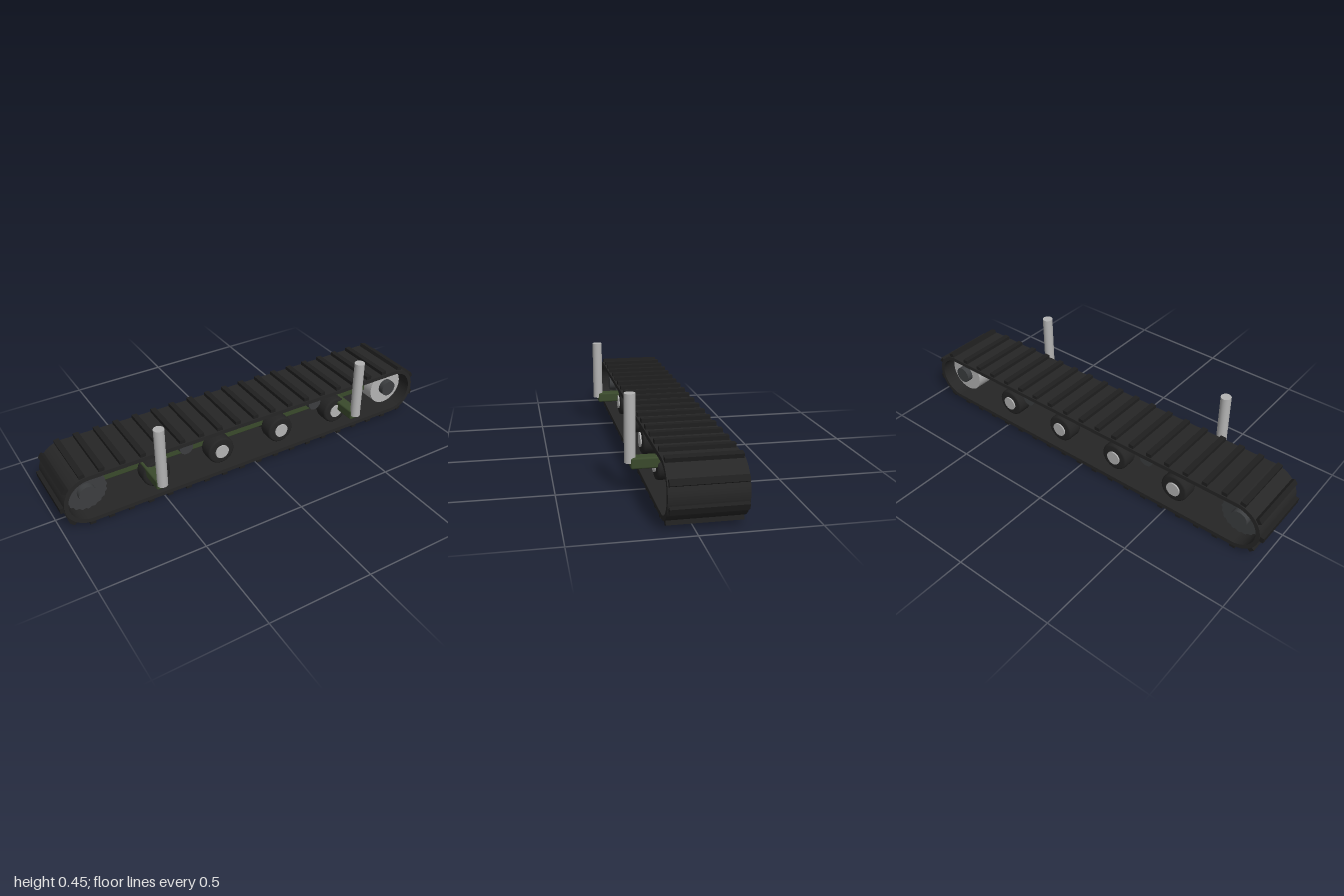
import * as THREE from 'three';
import { RoundedBoxGeometry } from 'three/addons/geometries/RoundedBoxGeometry.js';

const CY = 0.143, CZ = -0.046;        // centre line of the track
const HALF = 0.857, R = 0.125;        // half run length, belt outer radius
const mat = (color) => new THREE.MeshStandardMaterial({ color });

export function createModel() {
  const model = new THREE.Group();
  const rubber = mat(0x262626), cleatMat = mat(0x1f1f1f), tyreMat = mat(0x242424);
  const dark = mat(0x3c3e40), steel = mat(0xb4b4b4), green = mat(0x3a4a2c);

  const add = (name, geometry, material, x, y, z, parent = model) => {
    const mesh = new THREE.Mesh(geometry, material);
    mesh.name = name;
    mesh.position.set(x, y, z);
    parent.add(mesh);
    return mesh;
  };
  // Cylinder lying along z
  const axle = (r, length, sides = 32) =>
    new THREE.CylinderGeometry(r, r, length, sides).rotateX(Math.PI / 2);

  // Belt: stadium ring extruded across the track width
  const stadium = (path, r) => path
    .absarc(HALF, 0, r, -Math.PI / 2, Math.PI / 2, false)
    .absarc(-HALF, 0, r, Math.PI / 2, Math.PI * 1.5, false)
    .closePath();
  const loop = stadium(new THREE.Shape(), R);
  loop.holes.push(stadium(new THREE.Path(), R - 0.02));
  const width = 0.322;
  const beltGeo = new THREE.ExtrudeGeometry(loop, { depth: width, bevelEnabled: false, curveSegments: 20 });
  add('belt', beltGeo, rubber, 0, CY, CZ - width / 2);

  // Cleats: distances along the loop, starting at the top left and running clockwise
  const run = 2 * HALF, arc = Math.PI * R, pitch = 0.0984;
  const stops = [];
  const spread = (from, step, count) => {
    for (let i = 0; i < count; i++) stops.push(from + i * step);
  };
  const topStart = 0.065, topEnd = topStart + 16 * pitch;
  const lowStart = run + arc + 0.052, lowEnd = lowStart + 16 * pitch;
  const rightStep = (lowStart - topEnd) / 5;
  const leftStep = (2 * (run + arc) + topStart - lowEnd) / 6;
  spread(topStart, pitch, 17);
  spread(topEnd + rightStep, rightStep, 4);
  spread(lowStart, pitch, 17);
  spread(lowEnd + leftStep, leftStep, 5);

  const cleats = new THREE.Group();
  cleats.name = 'cleats';
  model.add(cleats);
  const cleatGeo = new THREE.BoxGeometry(0.027, 0.024, 0.312);
  for (const stop of stops) {
    const half = run + arc;
    const s = stop % (2 * half);
    const lower = s >= half;
    const t = lower ? s - half : s;
    const turn = t > run ? (t - run) / R : 0;
    const sign = lower ? -1 : 1;
    const rr = R + 0.006;
    const x = sign * (Math.min(t, run) - HALF + Math.sin(turn) * rr);
    const y = sign * Math.cos(turn) * rr;
    const cleat = add('cleat', cleatGeo, cleatMat, x, CY + y, CZ, cleats);
    cleat.rotation.z = -turn + (lower ? Math.PI : 0);
  }

  // Drive sprocket with shallow teeth
  const gear = new THREE.Shape();
  const teeth = 20;
  for (let i = 0; i < teeth * 4; i++) {
    const a = (i / (teeth * 4)) * Math.PI * 2;
    const r = i % 4 < 2 ? 0.101 : 0.096;
    if (i === 0) gear.moveTo(r, 0);
    else gear.lineTo(r * Math.cos(a), r * Math.sin(a));
  }
  gear.closePath();
  const gearGeo = new THREE.ExtrudeGeometry(gear, { depth: 0.19, bevelEnabled: false });
  add('driveSprocket', gearGeo, dark, -HALF, CY, CZ - 0.095);
  add('sprocketHub', axle(0.042, 0.25), dark, -HALF, CY, CZ);

  // Idler wheel
  add('idlerWheel', axle(0.098, 0.19, 48), steel, HALF, CY, CZ);
  add('idlerHub', axle(0.042, 0.25), dark, HALF, CY, CZ);

  // Central frame beam
  add('frameBeam', new RoundedBoxGeometry(1.72, 0.054, 0.08, 2, 0.006), green, 0, 0.146, CZ);

  // Road wheels: paired tyres on both sides of the beam
  const w = 0.04, r = 0.07;
  const profile = [[0.03, -w], [0.06, -w], [0.067, -w + 0.004], [r, -w + 0.012],
    [r, w - 0.012], [0.067, w - 0.004], [0.06, w], [0.03, w]]
    .map(([a, b]) => new THREE.Vector2(a, b));
  const tyreGeo = new THREE.LatheGeometry(profile, 32).rotateX(Math.PI / 2);
  for (const x of [-0.517, -0.174, 0.168, 0.51]) {
    const wheel = new THREE.Group();
    wheel.name = 'roadWheel';
    wheel.position.set(x, 0.115, CZ);
    model.add(wheel);
    for (const side of [-1, 1]) add('tyre', tyreGeo, tyreMat, 0, 0, side * 0.078, wheel);
    add('wheelHub', axle(0.035, 0.25), steel, 0, 0, 0, wheel);
  }

  for (const side of [-1, 1]) {
    // Return roller under the upper run
    add('returnRoller', axle(0.035, 0.25), dark, side * 0.365, 0.212, CZ);
    // Bracket reaching out from the beam, with its upright post
    add('bracket', new RoundedBoxGeometry(0.056, 0.05, 0.23, 3, 0.008), green, side * 0.545, 0.143, 0.07);
    add('post', new THREE.CylinderGeometry(0.025, 0.025, 0.302, 24), steel, side * 0.545, 0.294, 0.185);
  }
  return model;
}
